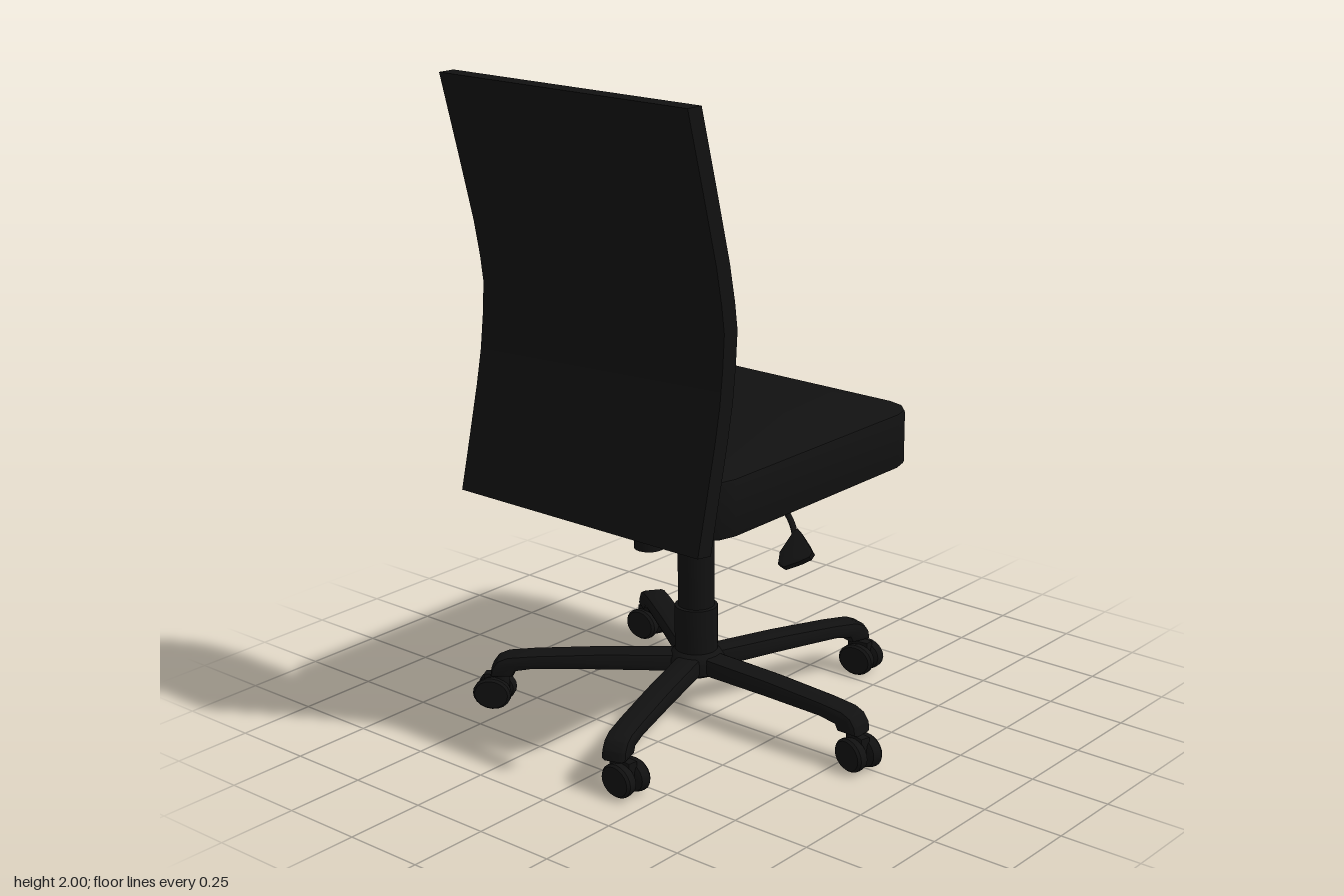
import * as THREE from 'three';
import { toCreasedNormals } from 'three/addons/utils/BufferGeometryUtils.js';

const black = new THREE.MeshStandardMaterial({ color: 0x111111 });
const steel = new THREE.MeshStandardMaterial({ color: 0x888888 });
const CX = -0.06; // column axis

const v2 = (pts) => pts.map(([x, y]) => new THREE.Vector2(x, y));

function mesh(name, geo, mat = black) {
  const m = new THREE.Mesh(geo, mat);
  m.name = name;
  return m;
}

// Outline extruded by depth, centred on its own z
function slab(points, depth, bevel = 0) {
  const geo = new THREE.ExtrudeGeometry(new THREE.Shape(v2(points)), {
    depth: depth - 2 * bevel, bevelEnabled: bevel > 0, bevelSize: bevel,
    bevelThickness: bevel, bevelOffset: -bevel, bevelSegments: 2,
  });
  geo.translate(0, 0, -depth / 2 + bevel);
  return toCreasedNormals(geo, 0.6);
}

function lathe(points, segments = 24) {
  return toCreasedNormals(new THREE.LatheGeometry(v2(points), segments), 0.6);
}

function makeBackrest() {
  // Side curve as (z, y), rear surface then front surface
  const rear = [[0.567, 2], [0.505, 1.77], [0.45, 1.56], [0.428, 1.45], [0.417, 1.37],
    [0.424, 1.27], [0.436, 1.17], [0.456, 1.07], [0.496, 0.9], [0.53, 0.76]];
  const front = rear.map(([z, y]) => [z - 0.056, y]).reverse();
  front[0][1] = 0.752;
  const geo = slab([...rear, ...front], 0.905);
  geo.rotateY(-Math.PI / 2); // profile x becomes z
  geo.translate(-0.0625, 0, 0);
  return mesh('backrest', geo);
}

function makeSeat() {
  const x0 = -0.5, x1 = 0.377, z0 = -0.525, z1 = 0.45, c = 0.1;
  const pts = [];
  const corners = [[x1 - c, z1 - c, 0], [x0 + c, z1 - c, 1], [x0 + c, z0 + c, 2], [x1 - c, z0 + c, 3]];
  for (const [cx, cz, q] of corners) {
    for (let i = 0; i <= 3; i++) {
      const a = (q + i / 3) * Math.PI / 2;
      pts.push([cx + c * Math.cos(a), cz + c * Math.sin(a)]);
    }
  }
  const geo = slab(pts, 0.172, 0.008);
  geo.rotateX(Math.PI / 2); // outline y becomes z
  geo.translate(0, 0.855, 0);
  return mesh('seat', geo);
}

function makeColumn() {
  const g = new THREE.Group();
  g.name = 'column';
  g.add(
    mesh('columnSleeve', lathe([[0, 0.13], [0.06, 0.13], [0.085, 0.145], [0.085, 0.185],
      [0.075, 0.2], [0.066, 0.21], [0.066, 0.35], [0.056, 0.352], [0.056, 0.565],
      [0.048, 0.567], [0.048, 0.605], [0, 0.605]])),
    mesh('piston', new THREE.CylinderGeometry(0.027, 0.027, 0.11, 20).translate(0, 0.655, 0), steel),
    mesh('pistonCap', lathe([[0, 0.705], [0.035, 0.705], [0.048, 0.712], [0.048, 0.73],
      [0.03, 0.735], [0.03, 0.772], [0, 0.772]])),
  );
  g.position.x = CX;
  return g;
}

function makeTensionKnob() {
  const m = mesh('tensionKnob', lathe([[0, 0.597], [0.045, 0.597], [0.045, 0.7],
    [0.034, 0.702], [0.034, 0.775], [0, 0.775]]));
  m.position.set(CX, 0, 0.215);
  return m;
}

function makeLever() {
  const g = new THREE.Group();
  g.name = 'heightLever';
  const path = new THREE.CatmullRomCurve3([[CX, 0.732, 0], [0.1, 0.732, 0], [0.25, 0.732, 0],
    [0.28, 0.726, 0], [0.32, 0.7, 0.018], [0.355, 0.675, 0.05]].map((p) => new THREE.Vector3(...p)),
    false, 'centripetal');
  g.add(mesh('leverRod', new THREE.TubeGeometry(path, 32, 0.009, 8)));

  // Paddle drawn flat, then tilted so that it drops toward +z
  const tilt = 0.83, stretch = 1 / Math.cos(tilt);
  const outline = [[0.335, 0.637], [0.35, 0.612], [0.375, 0.608], [0.415, 0.628], [0.438, 0.643],
    [0.44, 0.655], [0.415, 0.668], [0.37, 0.688], [0.35, 0.695], [0.342, 0.685]];
  const paddle = mesh('leverPaddle',
    slab(outline.map(([x, y]) => [x, (y - 0.655) * stretch]), 0.02, 0.004));
  paddle.rotation.x = -tilt;
  paddle.position.set(0, 0.655, 0.072);
  g.add(paddle);
  return g;
}

function makeLeg(angle) {
  // Side profile as (distance from column, y)
  const geo = slab([[0, 0.14], [0.3, 0.138], [0.5, 0.134], [0.555, 0.125], [0.565, 0.106],
    [0.634, 0.106], [0.63, 0.135], [0.612, 0.16], [0.58, 0.174], [0.5, 0.182],
    [0.3, 0.193], [0, 0.2]], 0.08, 0.014);
  const m = mesh('leg', geo);
  m.position.x = CX;
  m.rotation.y = angle;
  return m;
}

function makeCaster(x, z, yaw) {
  const g = new THREE.Group();
  g.name = 'caster';
  // Rounded twin wheels, a little longer than tall
  const wheel = lathe([[0, -0.02], [0.036, -0.02], [0.046, -0.014], [0.05, 0], [0.05, 0.012],
    [0.044, 0.02], [0, 0.02]], 20);
  wheel.rotateX(Math.PI / 2);
  wheel.scale(1.2, 1, 1);
  for (const s of [-1, 1]) {
    const w = mesh('wheel', wheel);
    w.rotation.y = s < 0 ? Math.PI : 0;
    w.position.set(0, 0.05, s * 0.026);
    g.add(w);
  }
  g.add(mesh('casterFork', new THREE.BoxGeometry(0.06, 0.07, 0.03).translate(0, 0.07, 0)));
  g.position.set(x, 0, z);
  g.rotation.y = yaw;
  return g;
}

export function createModel() {
  const root = new THREE.Group();
  root.name = 'officeChair';
  root.add(makeBackrest(), makeSeat(), makeColumn(), makeTensionKnob(), makeLever());

  // Five-star base
  for (let i = 0; i < 5; i++) root.add(makeLeg(i * Math.PI * 2 / 5));
  const casters = [[0.567, 0.012, -0.25], [0.153, -0.567, 0.1], [-0.565, -0.355, 0],
    [-0.568, 0.365, 0.5], [0.153, 0.567, -0.1]];
  for (const c of casters) root.add(makeCaster(...c));

  // Swivel stems between leg ends and casters
  for (let i = 0; i < 5; i++) {
    const a = i * Math.PI * 2 / 5;
    const stem = mesh('casterStem', new THREE.CylinderGeometry(0.024, 0.024, 0.06, 12));
    stem.position.set(CX + 0.602 * Math.cos(a), 0.09, -0.602 * Math.sin(a));
    root.add(stem);
  }
  return root;
}
